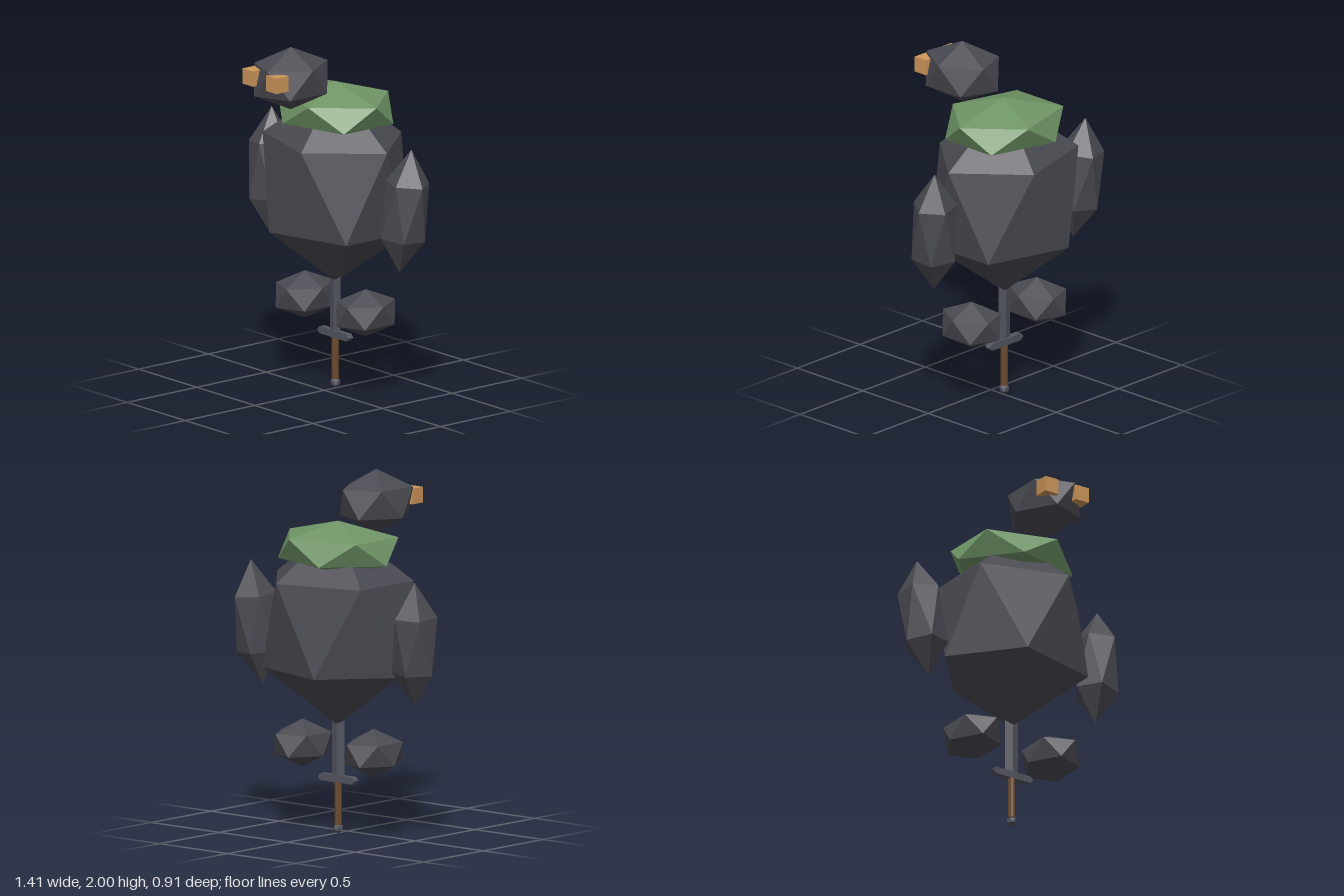
import * as THREE from 'three';

const mat = (name, color) => {
  const m = new THREE.MeshStandardMaterial({ color, flatShading: true });
  m.name = name;
  return m;
};

export function createModel() {
  const model = new THREE.Group();
  model.name = 'model';
  const fur = mat('charcoal', 0x4a4a52);
  const leaf = mat('moss green', 0x6f9566);
  const amber = mat('amber', 0xcd965a);
  const steel = mat('steel', 0x53555f);
  const wood = mat('brown grip', 0x6b4a32);
  const X = -0.013, Z = -0.09; // shared centre line

  const add = (name, geometry, material, x, y, z) => {
    const mesh = new THREE.Mesh(geometry, material);
    mesh.name = name;
    mesh.position.set(x, y, z);
    model.add(mesh);
    return mesh;
  };

  // 20-sided lump with its poles on y; rx and rz are the radii of its rings
  const ring = 2 / Math.sqrt(5);
  const lump = (rx, ry, rz) => new THREE.IcosahedronGeometry(1, 0)
    .rotateZ(-Math.atan(2 / (1 + Math.sqrt(5))))
    .scale(rx / ring, ry, rz / ring);

  // Body, collar and head
  add('body', lump(0.445, 0.567, 0.379), fur, X, 1.172, Z);
  add('collar', lump(0.355, 0.15, 0.302), leaf, X, 1.6, Z);
  add('head', lump(0.19, 0.178, 0.226), fur, X, 1.822, 0.23);

  // Paired parts
  for (const [side, s] of [['left', 1], ['right', -1]]) {
    add(side + 'Eye', new THREE.BoxGeometry(0.088, 0.088, 0.088), amber, X + s * 0.101, 1.843, 0.411);
    const arm = add(side + 'Arm', lump(0.126, 0.354, 0.127), fur, X + s * 0.579, 1.122, -0.11);
    arm.rotation.set(-0.07, 0, -s * 0.064);
    add(side + 'Foot', lump(0.15, 0.135, 0.181), fur, X + s * 0.262, 0.48, Z);
  }

  // Sword: blade runs up into the body
  const blade = new THREE.CylinderGeometry(0.045, 0.045, 0.8, 4);
  blade.scale(1, 1, 0.32);
  add('swordBlade', blade, steel, X, 0.72, Z);

  // Crossguard with bevelled ends
  const guard = new THREE.Shape([
    [-0.135, 0], [-0.115, -0.02], [0.115, -0.02], [0.135, 0], [0.115, 0.02], [-0.115, 0.02],
  ].map(([x, y]) => new THREE.Vector2(x, y)));
  add('swordGuard', new THREE.ExtrudeGeometry(guard, { depth: 0.036, bevelEnabled: false })
    .translate(0, 0, -0.018), steel, X, 0.307, Z);

  add('swordGrip', new THREE.CylinderGeometry(0.02, 0.02, 0.24, 8), wood, X, 0.17, Z);
  add('swordPommel', lump(0.027, 0.029, 0.027), steel, X, 0.029, Z);

  return model;
}
